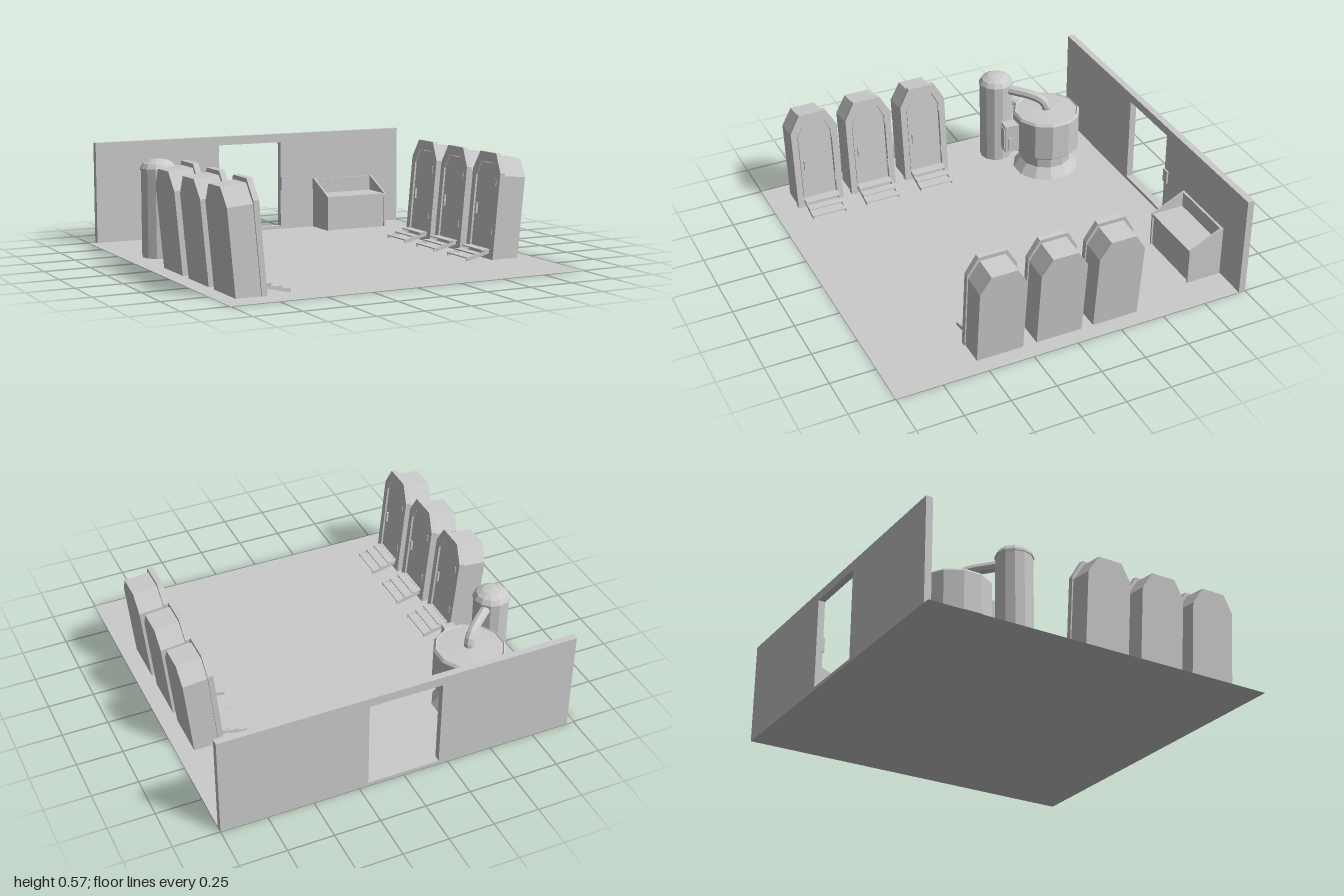
import * as THREE from 'three';

const material = new THREE.MeshStandardMaterial({ color: 0xcccccc, flatShading: true, side: THREE.DoubleSide });

function add(parent, name, geometry, x = 0, y = 0, z = 0) {
  const mesh = new THREE.Mesh(geometry, material);
  mesh.name = name;
  mesh.position.set(x, y, z);
  parent.add(mesh);
  return mesh;
}

// Box given by its lower and upper corners
function block(parent, name, a, b) {
  const size = b.map((v, i) => v - a[i]);
  return add(parent, name, new THREE.BoxGeometry(...size), ...a.map((v, i) => v + size[i] / 2));
}

const polygon = (points) => points.map(([x, y]) => new THREE.Vector2(x, y));

// Upright outline with two chamfered top corners
const chamfered = (half, bottom, shoulder, topHalf, top) => polygon([
  [-half, bottom], [half, bottom], [half, shoulder], [topHalf, top], [-topHalf, top], [-half, shoulder],
]);

const TILT = 0.09;

// Slab facing +x from local x = back to x = front, leaned back and cut level at the floor
function leaningSlab(outline, back, front, hole) {
  const shape = new THREE.Shape(outline);
  if (hole) shape.holes.push(new THREE.Path(hole));
  const g = new THREE.ExtrudeGeometry(shape, { depth: front - back, bevelEnabled: false });
  g.translate(0, 0, back).rotateY(Math.PI / 2).rotateZ(TILT);
  const p = g.attributes.position;
  for (let i = 0; i < p.count; i++) p.setY(i, Math.max(p.getY(i), 0.001));
  g.computeVertexNormals();
  return g;
}

function createPod() {
  const pod = new THREE.Group();
  pod.name = 'pod';
  const doorway = chamfered(0.1, 0.05, 0.44, 0.06, 0.52);
  add(pod, 'podBody', leaningSlab(chamfered(0.129, 0, 0.455, 0.07, 0.55), -0.165, -0.025));
  add(pod, 'podFrame', leaningSlab(chamfered(0.136, 0, 0.47, 0.078, 0.572), -0.03, 0, doorway));
  add(pod, 'podDoor', leaningSlab(chamfered(0.095, 0.055, 0.437, 0.057, 0.515), -0.025, -0.008));
  // Door fittings lie in the leaning plane
  const fittings = new THREE.Group();
  fittings.name = 'doorFittings';
  fittings.rotation.z = TILT;
  pod.add(fittings);
  block(fittings, 'doorHandle', [-0.01, 0.23, 0.065], [0.004, 0.29, 0.077]);
  for (const y of [0.13, 0.4]) block(fittings, 'doorHinge', [-0.01, y, -0.106], [0.004, y + 0.035, -0.094]);

  // Three open treads between two thin stringers
  const steps = new THREE.Group();
  steps.name = 'steps';
  pod.add(steps);
  for (let i = 0; i < 3; i++) {
    const x = i * 0.048, y = 0.055 - i * 0.017;
    block(steps, 'tread', [x, y - 0.006, -0.1], [x + 0.046, y, 0.1]);
  }
  const side = new THREE.Shape(polygon([[0, 0.032], [0, 0.05], [0.142, 0.018], [0.142, 0.001], [0.128, 0.001]]));
  for (const z of [-0.1, 0.094]) {
    add(steps, 'stringer', new THREE.ExtrudeGeometry(side, { depth: 0.006, bevelEnabled: false }), 0, 0, z);
  }
  return pod;
}

function createVat() {
  const vat = new THREE.Group();
  vat.name = 'vat';
  const profile = polygon([
    [0, 0.001], [0.19, 0.001], [0.147, 0.06], [0.147, 0.125], [0.165, 0.125], [0.196, 0.148],
    [0.196, 0.362], [0.184, 0.376], [0.178, 0.37], [0, 0.38],
  ]);
  add(vat, 'vatBody', new THREE.LatheGeometry(profile, 12, Math.PI / 12), -0.565, 0, -0.615);
  // Control box on the front of the vat
  const control = new THREE.Group();
  control.name = 'controlBox';
  control.position.set(-0.57, 0, -0.4);
  control.rotation.y = -0.1;
  vat.add(control);
  block(control, 'controlCase', [-0.034, 0.16, -0.03], [0.034, 0.33, 0.055]);
  block(control, 'controlPanel', [-0.024, 0.18, 0.05], [0.024, 0.31, 0.06]);
  block(control, 'controlLever', [0.03, 0.175, 0.01], [0.042, 0.25, 0.035]);
  return vat;
}

function createTank() {
  const tank = new THREE.Group();
  tank.name = 'tank';
  const profile = polygon([
    [0, 0.001], [0.095, 0.001], [0.095, 0.475], [0.1, 0.475], [0.1, 0.487], [0.083, 0.512], [0.05, 0.53], [0, 0.537],
  ]);
  add(tank, 'tankBody', new THREE.LatheGeometry(profile, 12), -0.8, 0, -0.405);
  // Pipe from the tank over to the middle of the vat lid
  const path = new THREE.CatmullRomCurve3([
    [-0.8, 0.45, -0.405], [-0.7, 0.45, -0.49], [-0.62, 0.445, -0.56],
    [-0.575, 0.425, -0.6], [-0.56, 0.39, -0.615], [-0.56, 0.365, -0.615],
  ].map((p) => new THREE.Vector3(...p)));
  add(tank, 'pipe', new THREE.TubeGeometry(path, 14, 0.028, 8));
  return tank;
}

function createDesk() {
  const desk = new THREE.Group();
  desk.name = 'desk';
  // Side profile drawn with depth from the wall as its first coordinate
  const side = new THREE.Shape(polygon([[-0.96, 0.001], [-0.76, 0.001], [-0.76, 0.205], [-0.945, 0.295], [-0.96, 0.295]]));
  for (const x of [0.415, 0.8]) {
    const g = new THREE.ExtrudeGeometry(side, { depth: 0.01, bevelEnabled: false });
    g.rotateY(-Math.PI / 2);
    add(desk, 'deskSide', g, x + 0.01, 0, 0);
  }
  block(desk, 'deskBack', [0.42, 0.001, -0.96], [0.805, 0.292, -0.947]);
  block(desk, 'deskTop', [0.42, 0.185, -0.95], [0.805, 0.204, -0.761]);
  block(desk, 'deskFront', [0.42, 0.001, -0.78], [0.805, 0.187, -0.77]);
  return desk;
}

export function createModel() {
  const room = new THREE.Group();
  room.name = 'room';

  add(room, 'floor', new THREE.PlaneGeometry(2, 2).rotateX(-Math.PI / 2));

  // Back wall with a doorway
  const wall = new THREE.Shape(polygon([[-0.96, 0.001], [1, 0.001], [1, 0.575], [-0.96, 0.575]]));
  wall.holes.push(new THREE.Path(polygon([[-0.2, 0.02], [0.2, 0.02], [0.2, 0.525], [-0.2, 0.525]])));
  add(room, 'backWall', new THREE.ExtrudeGeometry(wall, { depth: 0.038, bevelEnabled: false }), 0, 0, -1);
  block(room, 'doorSwitch', [0.2, 0.235, -0.965], [0.24, 0.315, -0.952]);

  room.add(createVat(), createTank(), createDesk());

  // Two facing rows of pods
  for (const z of [0.068, 0.403, 0.727]) {
    const pod = createPod();
    pod.position.set(-0.745, 0, z);
    room.add(pod);
  }
  for (const z of [-0.265, 0.06, 0.395]) {
    const pod = createPod();
    pod.position.set(0.745, 0, z);
    pod.rotation.y = Math.PI;
    room.add(pod);
  }
  return room;
}
